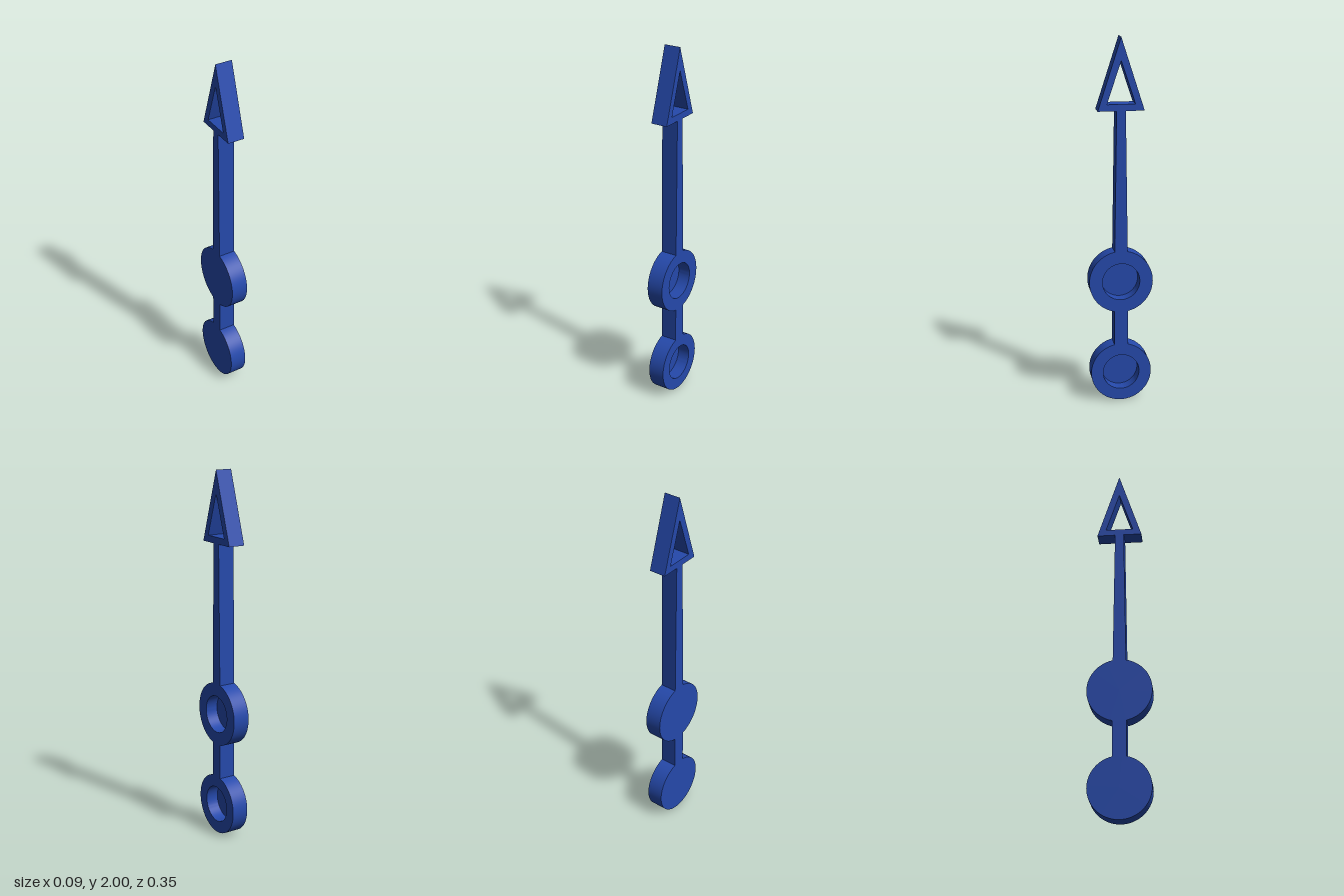
import * as THREE from 'three';
import { toCreasedNormals } from 'three/addons/utils/BufferGeometryUtils.js';

const T = 0.092; // thickness along x
const RECESS = 0.07; // depth of the round sockets, open towards +x

export function createModel() {
  const group = new THREE.Group();
  const blue = new THREE.MeshStandardMaterial({ color: 0x2549ab });
  blue.name = 'blue';

  const add = (name, geometry) => {
    const mesh = new THREE.Mesh(geometry, blue);
    mesh.name = name;
    group.add(mesh);
  };
  const points = (list) => list.map(([x, y]) => new THREE.Vector2(x, y));

  // Flat outline in the z-y plane, extruded across x
  const plate = (name, outline, hole) => {
    const shape = new THREE.Shape(points(outline));
    if (hole) shape.holes.push(new THREE.Path(points(hole)));
    const geometry = new THREE.ExtrudeGeometry(shape, { depth: T, bevelEnabled: false });
    geometry.translate(0, 0, -T / 2).rotateY(Math.PI / 2);
    add(name, geometry);
  };

  // Disc with a blind round socket, axis along x
  const disc = (name, y, radius, socket) => {
    const h = T / 2;
    const profile = points([
      [0, -h], [radius, -h], [radius, h],
      [socket, h], [socket, h - RECESS], [0, h - RECESS],
    ]);
    const lathe = new THREE.LatheGeometry(profile, 64);
    lathe.rotateZ(-Math.PI / 2).translate(0, y, 0);
    add(name, toCreasedNormals(lathe, 0.6));
  };

  disc('lowerDisc', 0.166, 0.166, 0.1);
  disc('upperDisc', 0.69, 0.173, 0.102);

  // Link between the discs
  plate('link', [[-0.037, 0.327], [0.037, 0.327], [0.037, 0.521], [-0.037, 0.521]]);

  // Tapered shaft
  plate('shaft', [[-0.035, 0.858], [0.035, 0.858], [0.024, 1.62], [-0.024, 1.62]]);

  // Open triangular arrowhead
  plate('arrowhead',
    [[-0.123, 1.62], [0.123, 1.62], [0, 2]],
    [[-0.075, 1.655], [0, 1.88], [0.075, 1.655]]);

  return group;
}
